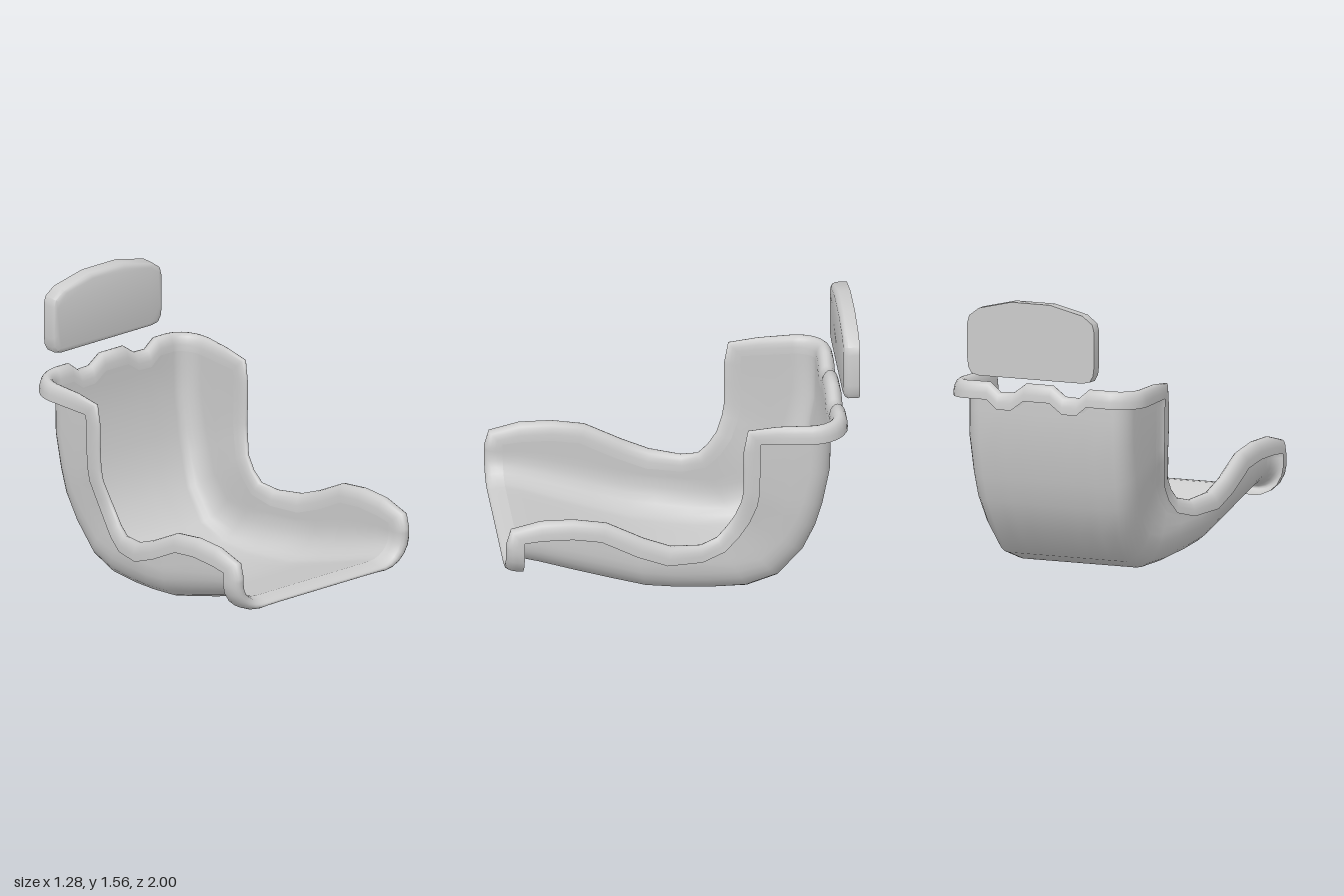
import * as THREE from 'three';
import { toCreasedNormals } from 'three/addons/utils/BufferGeometryUtils.js';
import { ConvexGeometry } from 'three/addons/geometries/ConvexGeometry.js';

const V = (x, y, z) => new THREE.Vector3(x, y, z);
const lerp = THREE.MathUtils.lerp;

// Stations from front edge to top of the back:
// spine z, y | side edge z, y | half width | lip width | corner radius across, up
const STATIONS = [
  [0.90, 0.275, 0.90, 0.47, 0.54, 0.10, 0.14, 0.13],
  [0.80, 0.245, 0.80, 0.48, 0.54, 0.10, 0.14, 0.15],
  [0.60, 0.175, 0.63, 0.48, 0.54, 0.10, 0.15, 0.18],
  [0.40, 0.11, 0.47, 0.455, 0.54, 0.10, 0.16, 0.20],
  [0.20, 0.05, 0.27, 0.35, 0.54, 0.10, 0.17, 0.20],
  [0.03, 0.025, 0.10, 0.28, 0.53, 0.10, 0.17, 0.20],
  [-0.15, 0.003, -0.10, 0.265, 0.50, 0.08, 0.15, 0.20],
  [-0.37, 0, -0.23, 0.30, 0.47, 0.065, 0.12, 0.20],
  [-0.54, 0.06, -0.31, 0.38, 0.465, 0.055, 0.11, 0.18],
  [-0.68, 0.22, -0.37, 0.47, 0.47, 0.05, 0.10, 0.16],
  [-0.75, 0.38, -0.41, 0.58, 0.49, 0.05, 0.10, 0.14],
  [-0.79, 0.52, -0.425, 0.67, 0.495, 0.05, 0.10, 0.13],
  [-0.83, 0.73, -0.425, 0.80, 0.50, 0.05, 0.10, 0.12],
  [-0.835, 0.90, -0.425, 0.92, 0.50, 0.05, 0.10, 0.12],
  [-0.835, 0.98, -0.43, 0.98, 0.50, 0.055, 0.10, 0.12],
];

// Height offset of the notched top edge, by distance from the middle
const NOTCH = [[0, 0.01], [0.085, 0.01], [0.16, -0.05], [0.25, -0.05], [0.315, 0.01], [0.5, -0.005], [9, -0.005]];
function notch(x) {
  const a = Math.abs(x);
  const i = NOTCH.findIndex((p) => a < p[0]);
  const [p, q] = [NOTCH[i - 1], NOTCH[i]];
  return lerp(p[1], q[1], (a - p[0]) / (q[0] - p[0]));
}

// U-shaped cross-section as [x, height above spine]: flat floor, round corner, wall
function section([z, y, rz, ry, w, , rx, rh]) {
  const depth = Math.hypot(rz - z, ry - y);
  const flat = w - rx;
  const half = [0, 0.2, 0.39, 0.61, 0.77, 1].map((f) => [f * flat, 0]);
  for (let k = 1; k <= 6; k++) {
    const a = (k / 6) * Math.PI / 2;
    half.push([flat + rx * Math.sin(a), rh * (1 - Math.cos(a))]);
  }
  for (let k = 1; k <= 3; k++) half.push([w, lerp(rh, depth, k / 3)]);
  const mirrored = half.slice(1).reverse().map(([x, h]) => [-x, h]);
  return { pts: [...mirrored, ...half], dir: V(0, ry - y, rz - z).normalize(), depth };
}

// Surface through rows of points
function gridGeometry(rows, closed = false) {
  const n = rows[0].length, m = rows.length, index = [];
  for (let i = 0; i < (closed ? m : m - 1); i++) {
    for (let j = 0; j < n - 1; j++) {
      const a = i * n + j, b = ((i + 1) % m) * n + j;
      index.push(a, a + 1, b, b, a + 1, b + 1);
    }
  }
  const g = new THREE.BufferGeometry().setFromPoints(rows.flat());
  g.setIndex(index);
  g.computeVertexNormals();
  return g;
}

export function createModel() {
  const group = new THREE.Group();
  const sheet = new THREE.MeshStandardMaterial({ color: 0xcccccc, side: THREE.DoubleSide });
  const solid = new THREE.MeshStandardMaterial({ color: 0xcccccc });
  const add = (name, geometry, material) => {
    const mesh = new THREE.Mesh(geometry, material);
    mesh.name = name;
    group.add(mesh);
  };

  // Seat shell: cross-sections swept from the front edge up the back
  const sections = STATIONS.map(section);
  const last = STATIONS.length - 1;
  const rows = sections.map(({ pts, dir }, i) => pts.map(([x, h]) => {
    const p = V(x, STATIONS[i][1], STATIONS[i][0]).addScaledVector(dir, h);
    if (i === last) p.y += notch(x);
    return p;
  }));
  add('seatShell', gridGeometry(rows), sheet);

  // Rolled rim: a hook profile swept around the whole edge of the shell
  const n = rows[0].length - 1;
  const hook = (p, up, out, width, height) => {
    const ring = [];
    for (let k = 0; k <= 10; k++) {
      const a = (k / 10) * Math.PI;
      ring.push(p.clone()
        .addScaledVector(out, width * (1 - Math.cos(a)) / 2)
        .addScaledVector(up, height * Math.pow(Math.max(Math.sin(a), 0), 0.8)));
    }
    return ring;
  };
  const endEdge = (i, up, widthAt, height) => {
    const { pts, dir, depth } = sections[i];
    const edge = [];
    for (let j = 1; j < n; j++) {
      const tx = pts[j + 1][0] - pts[j - 1][0], th = pts[j + 1][1] - pts[j - 1][1];
      const out = V(th, 0, 0).addScaledVector(dir, -tx).normalize();
      edge.push(hook(rows[i][j], up, out, widthAt(Math.abs(out.x), pts[j][1] / depth), height));
    }
    return edge;
  };
  const sideEdge = (side) => STATIONS.map((s, i) => {
    const a = STATIONS[Math.max(i - 1, 0)], b = STATIONS[Math.min(i + 1, last)];
    const up = V(0, a[2] - b[2], b[3] - a[3]).normalize();
    if (i === 0) up.add(V(0, 0, 1)).normalize();
    if (i === last) up.add(V(0, 1, 0)).normalize();
    return hook(rows[i][side > 0 ? n : 0], up, V(side, 0, 0), s[5], i < 6 ? 0.1 : i === last ? 0.105 : 0.09);
  });
  const rim = [
    ...endEdge(0, V(0, 0, 1), (side) => lerp(0.045, 0.1, side), 0.1),
    ...sideEdge(1),
    ...endEdge(last, V(0, 1, 0), (side, h) => 0.095 - 0.04 * h, 0.095).reverse(),
    ...sideEdge(-1).reverse(),
  ];
  add('rolledRim', gridGeometry(rim, true), sheet);

  // Headrest pad: arched outline, flat behind, rounded toward the front
  const outline = [[0.32, 1.13], [0.365, 1.14], [0.385, 1.175], [0.392, 1.23], [0.392, 1.42],
    [0.38, 1.465], [0.32, 1.51], [0.12, 1.557]];
  const pad = [];
  for (const [z, inset] of [[-1, 0], [-0.935, 0], [-0.918, 0.009], [-0.91, 0.028]]) {
    for (const [x, y] of outline) {
      const py = 1.343 + (y - 1.343) * (1 - inset / 0.214);
      for (const s of [1, -1]) pad.push(V(s * x * (1 - inset / 0.392), py, z));
    }
  }
  add('headrest', toCreasedNormals(new ConvexGeometry(pad), 0.75), solid);

  return group;
}
